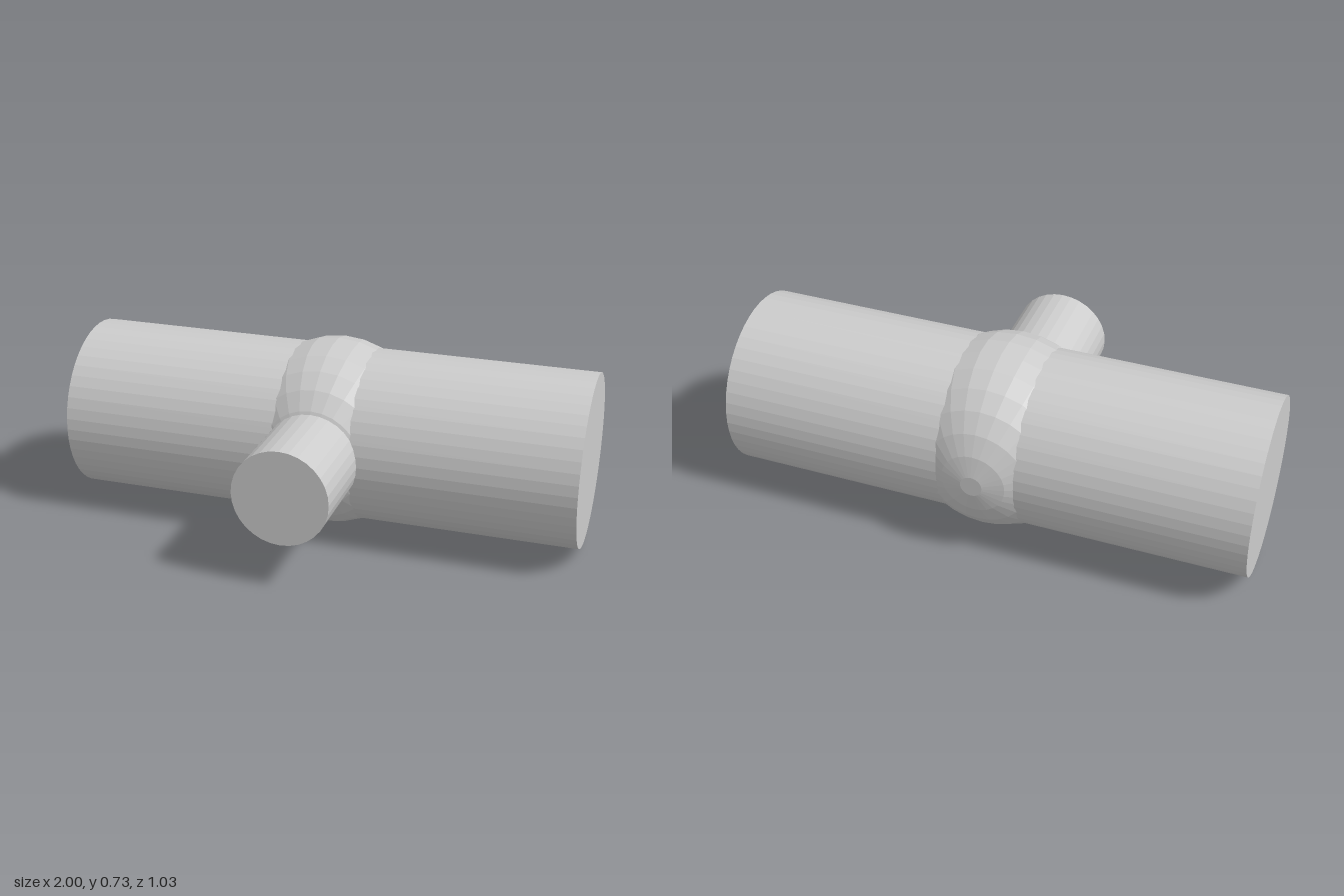
import * as THREE from 'three';

const material = new THREE.MeshStandardMaterial({ color: 0xcccccc, flatShading: true });

const R = 0.3667;             // joint radius
const RINGS = 14;             // latitude rings of the faceted joint
const CAP = R * Math.cos(Math.PI / RINGS / 2);
const CY = CAP + 0.001;       // height of the pipe axis
const CZ = -0.15;             // depth of the pipe axis

function addPart(group, name, geometry, x, y, z) {
  const mesh = new THREE.Mesh(geometry, material);
  mesh.name = name;
  mesh.position.set(x, y, z);
  group.add(mesh);
}

export function createModel() {
  const group = new THREE.Group();
  group.name = 'pipeTee';

  // Main pipe running left to right
  const pipe = new THREE.CylinderGeometry(0.333, 0.333, 2, 48);
  pipe.rotateZ(Math.PI / 2);
  addPart(group, 'mainPipe', pipe, 0, CY, CZ);

  // Faceted ball joint with small flat poles facing front and back
  const profile = [new THREE.Vector2(0, -CAP)];
  for (let i = 0; i < RINGS; i++) {
    const a = ((i + 0.5) / RINGS) * Math.PI;
    profile.push(new THREE.Vector2(R * Math.sin(a), -R * Math.cos(a)));
  }
  profile.push(new THREE.Vector2(0, CAP));
  const ball = new THREE.LatheGeometry(profile, RINGS * 2);
  ball.rotateX(Math.PI / 2);
  addPart(group, 'ballJoint', ball, 0, CY, CZ);

  // Branch pipe from the joint centre to the front
  const length = 0.514 - CZ;
  const branch = new THREE.CylinderGeometry(0.1833, 0.1833, length, 32);
  branch.rotateX(Math.PI / 2);
  addPart(group, 'branchPipe', branch, 0, CY, CZ + length / 2);

  return group;
}
